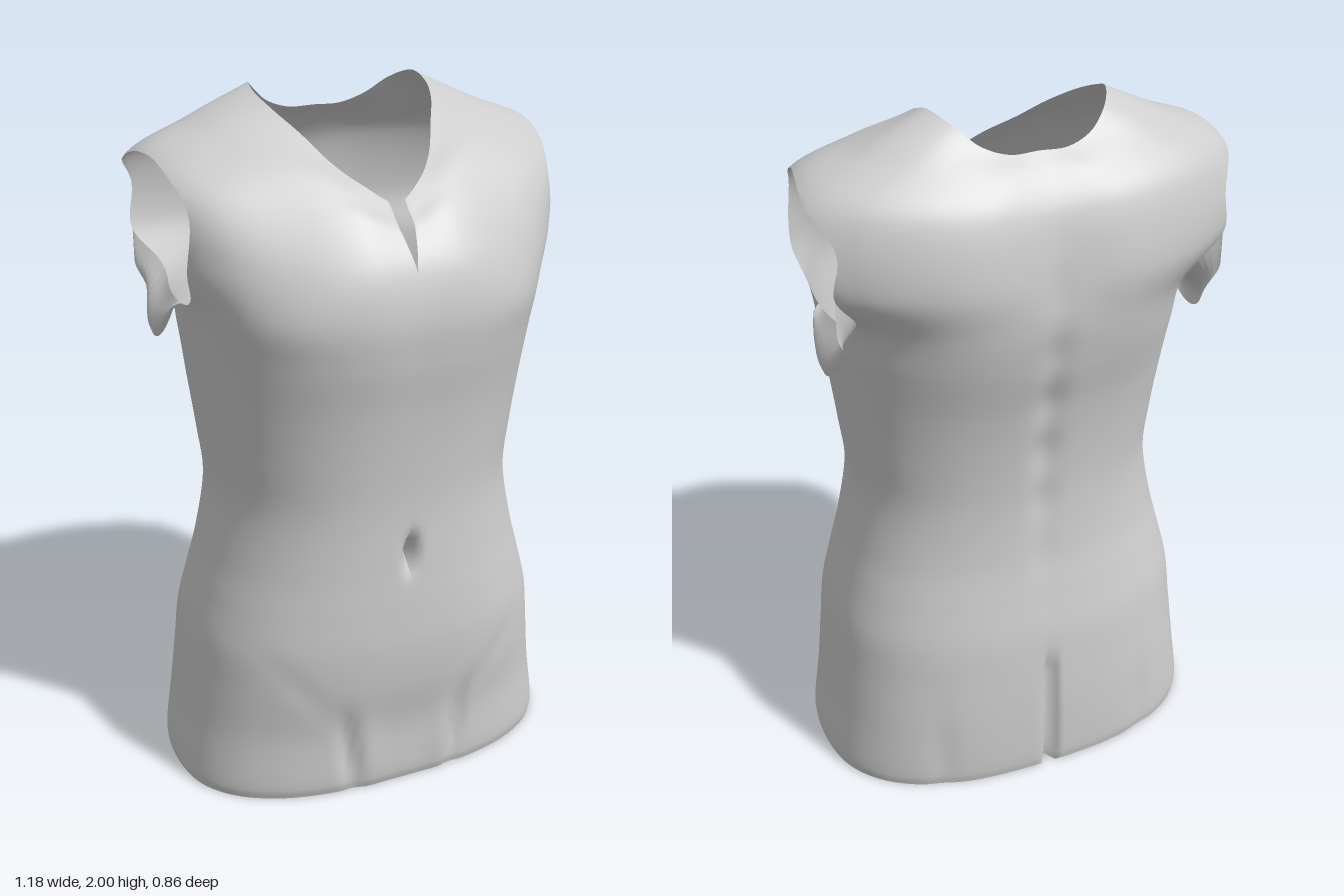
import * as THREE from 'three';

const COLS = 200, STEPS = 8;
const bell = (d, w) => Math.exp(-(d * d) / (w * w));
const signedPow = (v, p) => Math.sign(v) * Math.abs(v) ** p;

// Waist and chest rings: height, half width, front z, back z, squareness
const LOWER = [
  [0, 0.588, 0.352, -0.415, 2.55], [0.03, 0.59, 0.36, -0.42, 2.55], [0.2, 0.568, 0.365, -0.42, 2.5],
  [0.35, 0.552, 0.39, -0.412, 2.4], [0.48, 0.538, 0.4, -0.4, 2.35], [0.6, 0.508, 0.397, -0.378, 2.3],
  [0.72, 0.477, 0.39, -0.357, 2.25], [0.9, 0.446, 0.382, -0.345, 2.25], [1.05, 0.461, 0.388, -0.352, 2.25],
  [1.2, 0.479, 0.402, -0.372, 2.3], [1.35, 0.494, 0.425, -0.405, 2.4], [1.47, 0.513, 0.43, -0.422, 2.5],
];
// Half rings from front centre to back centre: armpit, shoulder, collar slope, neckline
const UPPER = [
  [[0, 1.6, 0.395], [0.15, 1.6, 0.39], [0.31, 1.6, 0.335], [0.455, 1.6, 0.25], [0.545, 1.6, 0.13], [0.578, 1.62, -0.07],
    [0.588, 1.61, -0.25], [0.5, 1.6, -0.328], [0.36, 1.6, -0.392], [0.19, 1.6, -0.423], [0, 1.6, -0.415]],
  [[0, 1.68, 0.34], [0.13, 1.72, 0.315], [0.3, 1.75, 0.245], [0.48, 1.77, 0.165], [0.56, 1.81, 0.06], [0.594, 1.835, -0.08],
    [0.593, 1.81, -0.21], [0.5, 1.8, -0.295], [0.35, 1.79, -0.36], [0.18, 1.78, -0.388], [0, 1.77, -0.38]],
  [[0, 1.715, 0.3], [0.11, 1.76, 0.27], [0.21, 1.82, 0.2], [0.33, 1.87, 0.105], [0.39, 1.91, 0], [0.42, 1.92, -0.1],
    [0.41, 1.92, -0.18], [0.34, 1.905, -0.255], [0.25, 1.88, -0.305], [0.13, 1.855, -0.335], [0, 1.85, -0.33]],
  [[0, 1.74, 0.27], [0.08, 1.785, 0.235], [0.14, 1.835, 0.17], [0.19, 1.9, 0.08], [0.235, 1.953, -0.01], [0.253, 1.985, -0.09],
    [0.245, 2, -0.155], [0.207, 1.972, -0.225], [0.15, 1.925, -0.265], [0.08, 1.9, -0.28], [0, 1.9, -0.28]],
];

function lowerRing([y, w, front, back, squareness]) {
  const zc = -0.02, power = 2 / squareness;
  return Array.from({ length: 20 }, (_, i) => {
    const a = (i / 20) * Math.PI * 2, c = signedPow(Math.cos(a), power);
    return new THREE.Vector3(w * signedPow(Math.sin(a), power), y, zc + c * (c > 0 ? front - zc : zc - back));
  });
}

function upperRing(half) {
  const mirrored = half.slice(1, -1).reverse().map(([x, y, z]) => [-x, y, z]);
  return [...half, ...mirrored].map((p) => new THREE.Vector3(...p));
}

// Armhole outline in the z-y plane; below 1 is inside the opening
const HOLE = { z: -0.07, y: 1.65, rz: 0.23, ry: 0.2 };
const holeAngle = (p) => Math.atan2((p.y - HOLE.y) / HOLE.ry, (p.z - HOLE.z) / HOLE.rz);
function holeDepth(p) {
  if (Math.abs(p.x) < 0.4) return 9;
  const dz = (p.z - HOLE.z) / HOLE.rz, dy = (p.y - HOLE.y) / HOLE.ry;
  const wobble = 1 + 0.025 * Math.sin(5 * holeAngle(p));
  return (Math.abs(dz) ** 2.3 + Math.abs(dy) ** 2.3) ** (1 / 2.3) / wobble;
}

// Soft anatomy: navel, groin folds, chest, spine, shoulder blades, seat
function sculpt(p) {
  const { x, y } = p, ax = Math.abs(x);
  if (p.z > 0.1) {
    const fold = bell(y - 0.13, 0.12);
    p.z -= 0.06 * bell(x, 0.016) * bell(y - 0.77, 0.045);
    p.z -= 0.025 * bell(ax - 0.17 - 0.12 * (y - 0.1), 0.022) * fold;
    p.z += 0.01 * bell(ax - 0.12, 0.04) * fold;
    p.z -= 0.004 * bell(ax - 0.19 - (y - 0.22) * 0.8, 0.05) * bell(y - 0.35, 0.14);
    p.z -= 0.005 * bell(x, 0.07) * bell(y - 1.45, 0.2);
  } else if (p.z < -0.15) {
    const seat = y < 0.32 ? 1 : bell(y - 0.32, 0.07);
    p.z += 0.04 * bell(x, 0.012) * seat;
    p.z += (0.016 + 0.004 * Math.sin(y * 37)) * bell(x, 0.04) * bell(y - 1.15, 0.38);
    p.z -= 0.006 * bell(ax - 0.24, 0.12) * bell(y - 1.5, 0.18);
    p.z += 0.008 * bell(ax - 0.33, 0.04) * bell(y - 0.1, 0.15);
  }
}

function meshGeometry(points, index) {
  const g = new THREE.BufferGeometry().setFromPoints(points);
  g.setIndex(index);
  g.computeVertexNormals();
  return g;
}

// Lofts the rings and trims the armholes; returns the geometry and the rim points
function buildTorso() {
  const rings = [...LOWER.map(lowerRing), ...UPPER.map(upperRing)]
    .map((pts) => new THREE.CatmullRomCurve3(pts, true));
  const rows = (rings.length - 1) * STEPS, n = rows + 1;
  const pts = [], index = [], rim = [], cuts = new Map();
  for (let i = 0; i <= COLS; i++) {
    const column = new THREE.CatmullRomCurve3(rings.map((r) => r.getPoint((i % COLS) / COLS)));
    for (let j = 0; j <= rows; j++) {
      const p = column.getPoint(j / rows);
      sculpt(p);
      // Slit below the front of the neckline
      const gap = 0.022 * Math.min(1, Math.max(0, (p.y - 1.59) / 0.1));
      if (p.z > 0.2 && Math.abs(p.x) < gap) p.x = i < COLS / 2 ? gap : -gap;
      pts.push(p);
    }
  }
  const depth = pts.map(holeDepth);
  const cut = (a, b) => {
    const key = Math.min(a, b) + '_' + Math.max(a, b);
    if (!cuts.has(key)) {
      const p = pts[a].clone().lerp(pts[b], (1 - depth[a]) / (depth[b] - depth[a]));
      cuts.set(key, pts.push(p) - 1);
      rim.push(p);
    }
    return cuts.get(key);
  };
  const addTriangle = (tri) => {
    const poly = [];
    tri.forEach((a, k) => {
      const b = tri[(k + 1) % 3];
      if (depth[a] >= 1) poly.push(a);
      if ((depth[a] >= 1) !== (depth[b] >= 1)) poly.push(cut(a, b));
    });
    for (let k = 2; k < poly.length; k++) index.push(poly[0], poly[k - 1], poly[k]);
  };
  for (let i = 0; i < COLS; i++) {
    for (let j = 0; j < rows; j++) {
      const a = i * n + j, b = a + n;
      addTriangle([a, b, b + 1]);
      addTriangle([a, b + 1, a + 1]);
    }
  }
  return { geometry: meshGeometry(pts, index), rim };
}

// Torn scrap of sleeve hanging from the lower back of an armhole rim
function flapGeometry(rim, side) {
  const nv = 6, points = [], index = [];
  const edge = rim.filter((p) => p.x * side > 0 && p.y < 1.6 && p.z < 0.01)
    .sort((p, q) => holeAngle(p) - holeAngle(q));
  const zBack = Math.min(...edge.map((p) => p.z)), zFront = Math.max(...edge.map((p) => p.z));
  for (const p of edge) {
    const arch = Math.max(0, Math.sin(Math.PI * (p.z - zBack) / (zFront - zBack)));
    const low = Math.min(p.y, 1.5 - 0.175 * arch ** 0.65);
    for (let j = 0; j <= nv; j++) {
      const t = j / nv, out = 0.548 + 0.02 * Math.sin(Math.PI * t) - Math.abs(p.x);
      const x = Math.abs(p.x) + out * Math.sin(t * Math.PI / 2) * Math.sqrt(arch);
      points.push(new THREE.Vector3(side * x, p.y + (low - p.y) * t, p.z));
    }
  }
  for (let i = 0; i < edge.length - 1; i++) {
    for (let j = 0; j < nv; j++) {
      const a = i * (nv + 1) + j, b = a + nv + 1;
      if (side > 0) index.push(a, b, b + 1, a, b + 1, a + 1);
      else index.push(a, b + 1, b, a, a + 1, b + 1);
    }
  }
  return meshGeometry(points, index);
}

export function createModel() {
  const group = new THREE.Group();
  group.name = 'torsoShell';
  const grey = new THREE.MeshStandardMaterial({ color: 0xcccccc, side: THREE.DoubleSide });
  grey.name = 'lightGrey';
  const add = (name, geometry) => {
    const mesh = new THREE.Mesh(geometry, grey);
    mesh.name = name;
    group.add(mesh);
  };
  const { geometry, rim } = buildTorso();
  add('torso', geometry);
  add('leftSleeveFlap', flapGeometry(rim, 1));
  add('rightSleeveFlap', flapGeometry(rim, -1));
  return group;
}
